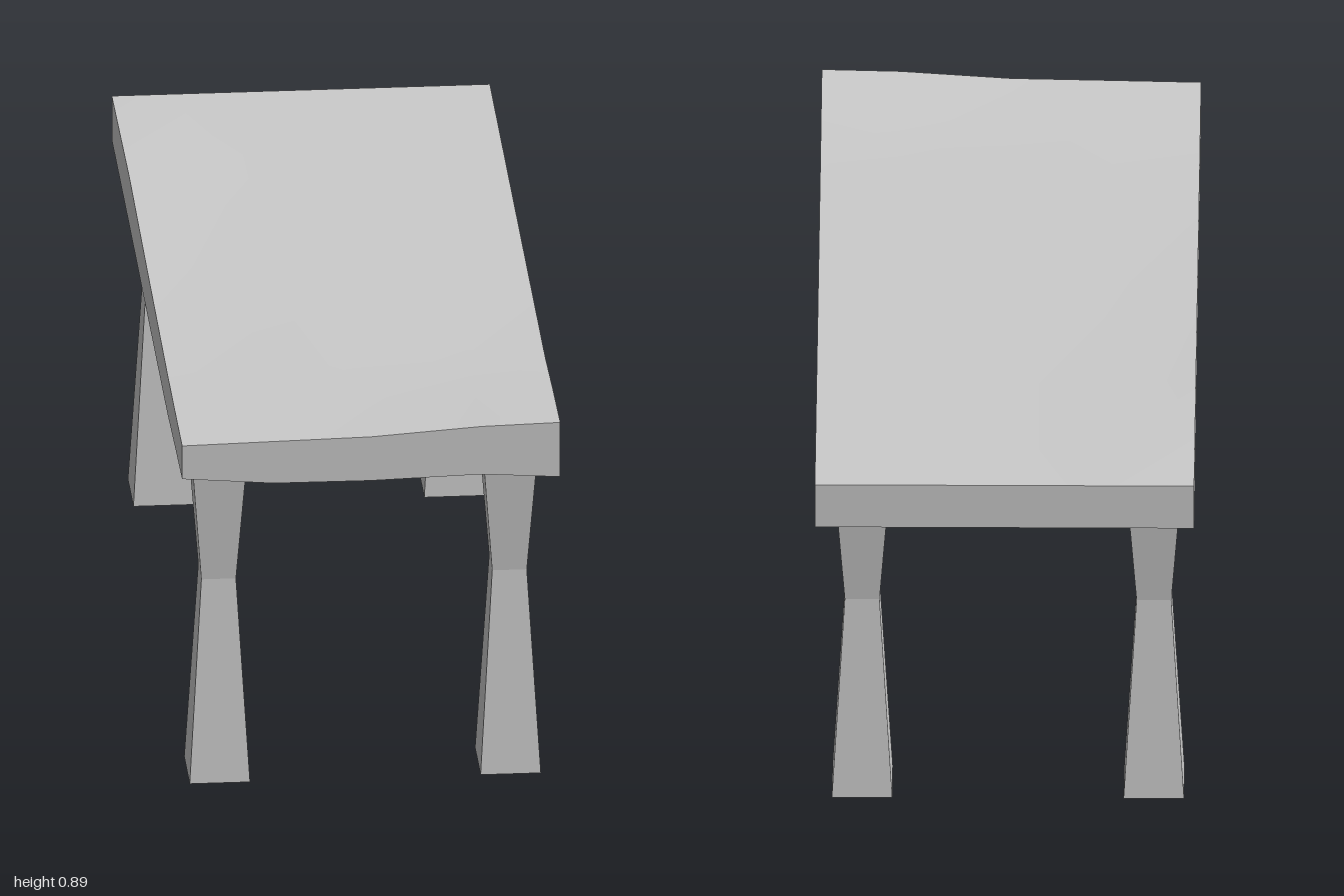
import * as THREE from 'three';

// Grid lines of the warped slab and the heights over them
const xs = [-0.427, -0.22, 0, 0.25, 0.427];
const zs = [-1, -0.5, 0, 0.58, 0.78, 1];
const topY = [
  [0.872, 0.872, 0.872, 0.872, 0.872],
  [0.885, 0.873, 0.872, 0.872, 0.872],
  [0.873, 0.872, 0.872, 0.872, 0.872],
  [0.862, 0.868, 0.872, 0.872, 0.872],
  [0.862, 0.868, 0.872, 0.882, 0.885],
  [0.864, 0.868, 0.872, 0.889, 0.893],
];
const bottomY = [
  [0.765, 0.765, 0.765, 0.765, 0.765],
  [0.767, 0.764, 0.764, 0.765, 0.765],
  [0.766, 0.76, 0.762, 0.764, 0.762],
  [0.766, 0.757, 0.76, 0.765, 0.762],
  [0.775, 0.762, 0.763, 0.77, 0.775],
  [0.783, 0.766, 0.765, 0.772, 0.76],
];

// Segmented box whose vertices are moved onto the uneven grid
function slabGeometry() {
  const geo = new THREE.BoxGeometry(1, 1, 1, xs.length - 1, 1, zs.length - 1);
  const p = geo.attributes.position;
  for (let n = 0; n < p.count; n++) {
    const i = Math.round((p.getX(n) + 0.5) * (xs.length - 1));
    const j = Math.round((p.getZ(n) + 0.5) * (zs.length - 1));
    p.setXYZ(n, xs[i], (p.getY(n) > 0 ? topY : bottomY)[j][i], zs[j]);
  }
  geo.computeVertexNormals();
  return geo;
}

// Open four-sided leg with a narrow waist
function legGeometry() {
  const rings = [
    { y: 0, x: 0.068, z: 0.079 },
    { y: 0.485, x: 0.039, z: 0.045 },
    { y: 0.77, x: 0.061, z: 0.07 },
  ];
  const geo = new THREE.CylinderGeometry(1, 1, 2, 4, 2, true).rotateY(Math.PI / 4);
  const p = geo.attributes.position;
  for (let n = 0; n < p.count; n++) {
    const ring = rings[Math.round(p.getY(n)) + 1];
    p.setXYZ(n, Math.sign(p.getX(n)) * ring.x, ring.y, Math.sign(p.getZ(n)) * ring.z);
  }
  geo.computeVertexNormals();
  return geo;
}

export function createModel() {
  const group = new THREE.Group();
  group.name = 'table';

  const tableTop = new THREE.Mesh(slabGeometry(), new THREE.MeshStandardMaterial({ color: 0xcccccc }));
  tableTop.name = 'tableTop';
  group.add(tableTop);

  // Four legs, slightly off centre under the top
  const legMaterial = new THREE.MeshStandardMaterial({
    color: 0xcccccc, flatShading: true, side: THREE.DoubleSide,
  });
  const leg = legGeometry();
  for (const [depth, z] of [['front', 0.835], ['back', -0.765]]) {
    for (const [side, x] of [['Left', 0.322], ['Right', -0.335]]) {
      const mesh = new THREE.Mesh(leg, legMaterial);
      mesh.name = `${depth}${side}Leg`;
      mesh.position.set(x, 0, z);
      group.add(mesh);
    }
  }
  return group;
}
